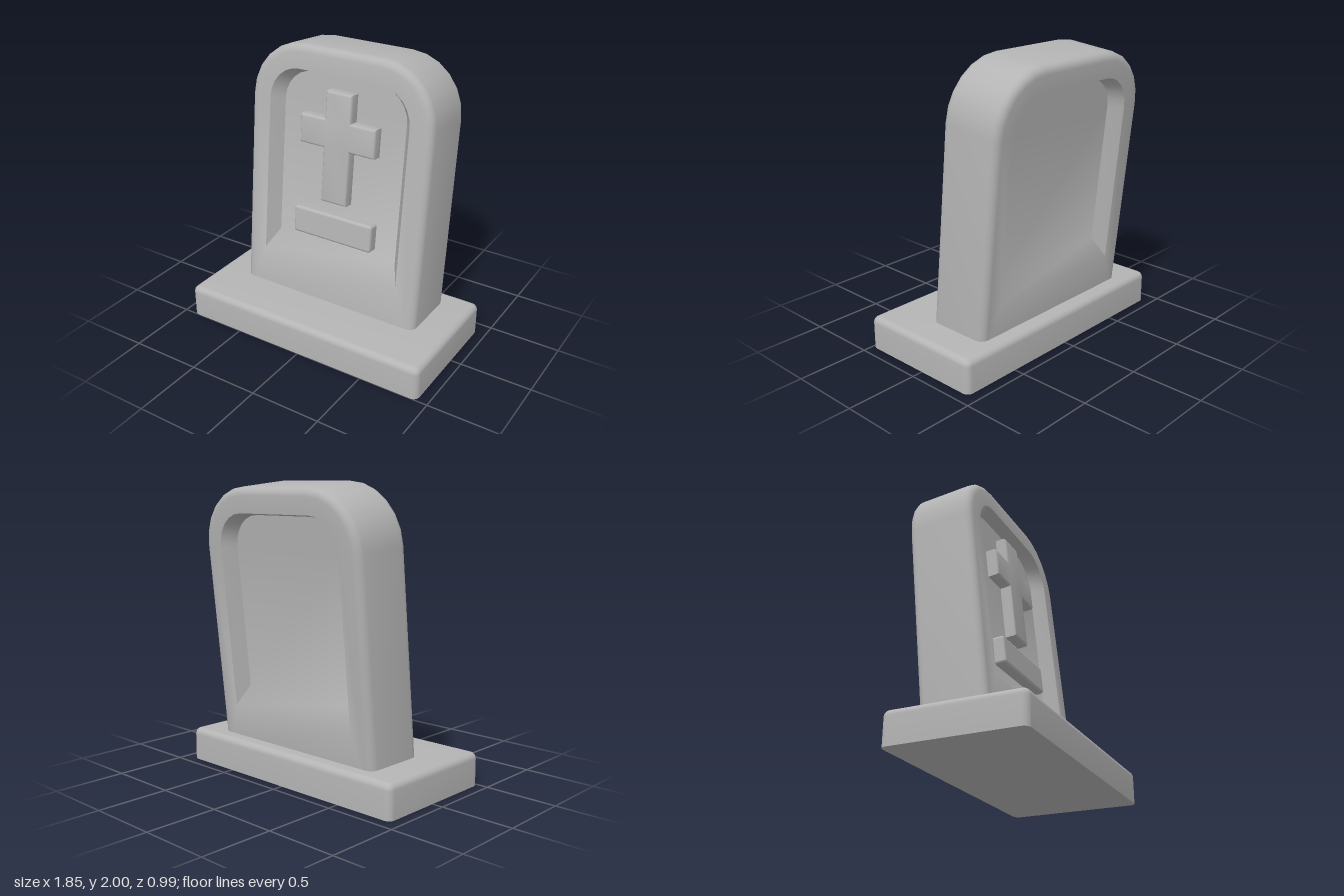
import * as THREE from 'three';
import { toCreasedNormals } from 'three/addons/utils/BufferGeometryUtils.js';
import { RoundedBoxGeometry } from 'three/addons/geometries/RoundedBoxGeometry.js';

const HALF = 0.2275; // half the slab thickness
const FLOOR = 0.1375; // recess floor, from the slab's middle plane

// Open arch outline from the bottom left, over the top, to the bottom right
function arch(a, h, rx, ry, y0, z, steps = 6) {
  const left = [new THREE.Vector3(-a, y0, z)];
  for (let i = 0; i <= steps; i++) {
    const t = (i / steps) * Math.PI / 2;
    left.push(new THREE.Vector3(-a + rx * (1 - Math.cos(t)), h - ry * (1 - Math.sin(t)), z));
  }
  const right = left.map((p) => new THREE.Vector3(-p.x, p.y, p.z)).reverse();
  return left.concat(right);
}

// Slab with a rounded rim and a ramped recess on the front and the back
function slabGeometry() {
  const bevel = 0.055, segments = 4, bottom = -0.06;
  const front = [
    arch(0.47, 1.574, 0.22, 0.22, 0.378, FLOOR),
    arch(0.535, 1.595, 0.225, 0.235, 0.247, HALF),
  ];
  for (let i = 0; i <= segments; i++) {
    const t = (i / segments) * Math.PI / 2;
    const d = bevel * (1 - Math.sin(t));
    front.push(arch(0.695 - d, 1.764 - d, 0.395 - d, 0.4 - d, bottom, HALF - bevel * (1 - Math.cos(t))));
  }
  const back = front.map((ring) => ring.map((p) => new THREE.Vector3(p.x, p.y, -p.z))).reverse();
  const rings = front.concat(back);
  const n = rings[0].length;
  const pos = [];
  const quad = (a, b, c, d) => [a, b, c, a, c, d].forEach((p) => pos.push(p.x, p.y, p.z));

  // Rim, recess walls and sides
  for (let r = 0; r < rings.length - 1; r++) {
    for (let i = 0; i < n - 1; i++) {
      quad(rings[r][i], rings[r][i + 1], rings[r + 1][i + 1], rings[r + 1][i]);
    }
  }
  // Recess floor, ramp and lower face
  for (const s of [1, -1]) {
    const [floor, lip, edge] = s > 0 ? front : [...back].reverse();
    const face = (a, b, c, d) => (s > 0 ? quad(a, b, c, d) : quad(d, c, b, a));
    for (let i = 0; i < n / 2 - 1; i++) {
      face(floor[i], floor[n - 1 - i], floor[n - 2 - i], floor[i + 1]);
    }
    face(lip[0], lip[n - 1], floor[n - 1], floor[0]);
    face(edge[0], edge[n - 1], lip[n - 1], lip[0]);
  }
  const g = new THREE.BufferGeometry();
  g.setAttribute('position', new THREE.Float32BufferAttribute(pos, 3));
  return toCreasedNormals(g, 0.78);
}

// Plinth with rounded sides and top, and a flat sharp underside
function plinthGeometry() {
  const g = new RoundedBoxGeometry(1.85, 0.33, 0.925, 4, 0.045);
  g.translate(0, 0.065, 0.0375);
  const p = g.attributes.position;
  for (let i = 0; i < p.count; i++) p.setY(i, Math.max(0, p.getY(i)));
  return toCreasedNormals(g, 0.7);
}

// Raised cross with softened edges
function crossGeometry() {
  const w = 0.1, arm = 0.29, y0 = 0.712, y1 = 1.094, y2 = 1.295, y3 = 1.486;
  const half = [[w, y0], [w, y1], [arm, y1], [arm, y2], [w, y2], [w, y3]];
  const outline = half.concat(half.map(([x, y]) => [-x, y]).reverse());
  const shape = new THREE.Shape(outline.map(([x, y]) => new THREE.Vector2(x, y)));
  const b = 0.018;
  const g = new THREE.ExtrudeGeometry(shape, {
    depth: 0.08, bevelEnabled: true, bevelSize: b, bevelThickness: b, bevelOffset: -b, bevelSegments: 3,
  });
  g.translate(0, 0, 0.215 - 0.08 - b);
  return toCreasedNormals(g, 0.7);
}

export function createModel() {
  const stone = new THREE.MeshStandardMaterial({ color: 0xb4b4b4 });
  stone.name = 'grey stone';
  const model = new THREE.Group();
  model.name = 'gravestone';
  const add = (parent, name, geometry) => {
    const mesh = new THREE.Mesh(geometry, stone);
    mesh.name = name;
    parent.add(mesh);
    return mesh;
  };

  add(model, 'plinth', plinthGeometry());

  // Headstone leans backwards on the plinth
  const headstone = new THREE.Group();
  headstone.name = 'headstone';
  headstone.position.set(0, 0.23, -0.09);
  headstone.rotation.x = -THREE.MathUtils.degToRad(6);
  model.add(headstone);

  add(headstone, 'slab', slabGeometry());
  add(headstone, 'cross', crossGeometry());
  const plaque = add(headstone, 'plaque', new RoundedBoxGeometry(0.62, 0.195, 0.12, 3, 0.02));
  plaque.position.set(0, 0.528, 0.152);

  return model;
}
